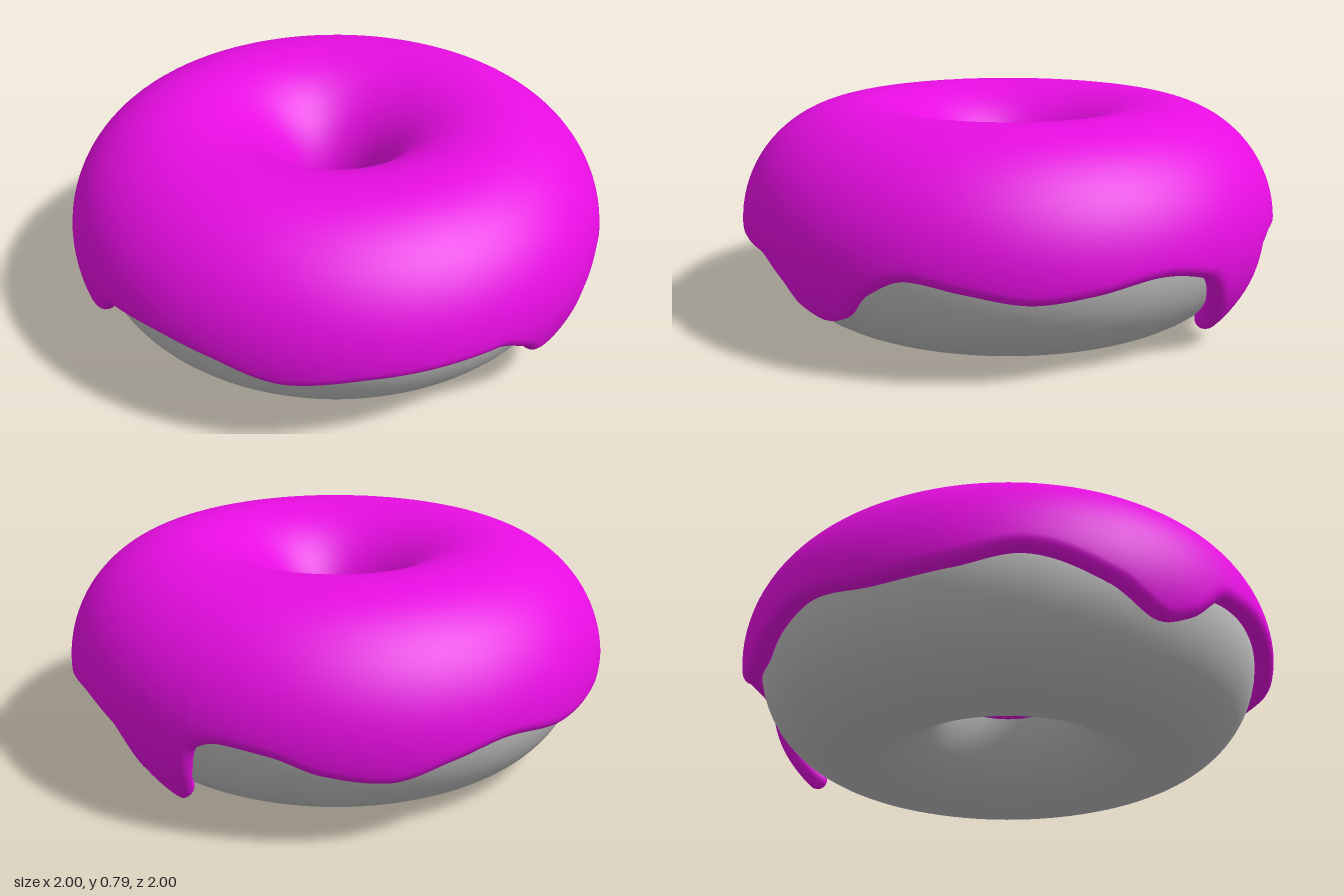
import * as THREE from 'three';

const RING = 0.57, CENTRE_Y = 0.36, DOUGH_R = 0.36, ICING_R = 0.43;
const MID_R = 0.39, LIP = 0.04;

// Lower edge of the icing: [degrees around the ring from the front, height]
const EDGE = [
  [-57, 0.36], [-40, 0.28], [-28, 0.195], [-21, 0.235], [-12, 0.345], [0, 0.36], [12, 0.34],
  [28, 0.28], [45, 0.31], [70, 0.32], [78, 0.26], [84, 0.175], [90, 0.15], [96, 0.18],
  [102, 0.28], [111, 0.35], [122, 0.32], [135, 0.285], [146, 0.305], [160, 0.34], [172, 0.3],
  [180, 0.14], [185, 0.04], [190, 0.14], [195, 0.32], [200, 0.35], [210, 0.33], [220, 0.27], [233, 0.235],
  [245, 0.29], [257, 0.33], [274, 0.295], [290, 0.315],
];

// Smooth periodic curve through the edge points, flat at highs and lows
function edgeHeight(deg) {
  const n = EDGE.length;
  const at = (k) => {
    const turn = Math.floor(k / n), p = EDGE[k - turn * n];
    return [p[0] + 360 * turn, p[1]];
  };
  const slope = (k) => {
    const [a, b, c] = [at(k - 1), at(k), at(k + 1)];
    const s = (b[1] - a[1]) / (b[0] - a[0]), t = (c[1] - b[1]) / (c[0] - b[0]);
    return s * t <= 0 ? 0 : (2 * s * t) / (s + t);
  };
  const d = ((((deg + 57) % 360) + 360) % 360) - 57;
  let k = 0;
  while (at(k + 1)[0] <= d) k++;
  const [x0, y0] = at(k), [x1, y1] = at(k + 1);
  const h = x1 - x0, u = (d - x0) / h, v = 1 - u;
  return y0 * (1 + 2 * u) * v * v + slope(k) * h * u * v * v
    + y1 * u * u * (3 - 2 * u) - slope(k + 1) * h * u * u * v;
}

const edgeAngle = (deg) => Math.asin((edgeHeight(deg) - CENTRE_Y) / 0.41);

// Cross-section of the icing as [tube angle, tube radius], with a rounded lip at each end
function section(deg) {
  const start = edgeAngle(deg), end = Math.PI + 0.22;
  const slant = (edgeAngle(deg + 0.5) - edgeAngle(deg - 0.5)) / THREE.MathUtils.degToRad(1) * 0.43;
  const lip0 = 0.11 * Math.min(2.2, Math.hypot(1, slant)), lip1 = 0.11;
  const pts = [];
  for (let k = 0; k <= 10; k++) {
    const t = Math.PI * (1 - k / 10);
    pts.push([start + lip0 * (1 - Math.sin(t)), MID_R + LIP * Math.cos(t)]);
  }
  const a = start + lip0, b = end - lip1;
  for (let k = 1; k < 44; k++) pts.push([a + (b - a) * k / 44, ICING_R]);
  for (let k = 0; k <= 10; k++) {
    const t = Math.PI * k / 10;
    pts.push([end - lip1 * (1 - Math.sin(t)), MID_R + LIP * Math.cos(t)]);
  }
  return pts;
}

function icingGeometry(steps = 480) {
  const pos = [], index = [];
  let rows = 0;
  for (let i = 0; i < steps; i++) {
    const deg = 360 * i / steps, phi = THREE.MathUtils.degToRad(deg);
    const pts = section(deg);
    rows = pts.length;
    for (const [a, r] of pts) {
      const R = RING + r * Math.cos(a);
      pos.push(R * Math.sin(phi), CENTRE_Y + r * Math.sin(a), R * Math.cos(phi));
    }
  }
  for (let i = 0; i < steps; i++) {
    for (let j = 0; j < rows - 1; j++) {
      const p = i * rows + j, q = ((i + 1) % steps) * rows + j;
      index.push(p, q, q + 1, p, q + 1, p + 1);
    }
  }
  const g = new THREE.BufferGeometry();
  g.setAttribute('position', new THREE.Float32BufferAttribute(pos, 3));
  g.setIndex(index);
  g.computeVertexNormals();
  return g;
}

export function createModel() {
  const group = new THREE.Group();
  group.name = 'donut';

  const doughMaterial = new THREE.MeshStandardMaterial({ color: 0xc0c0c0 });
  doughMaterial.name = 'dough grey';
  const icingMaterial = new THREE.MeshStandardMaterial({ color: 0xe70de2 });
  icingMaterial.name = 'icing magenta';

  // Plain ring of dough
  const dough = new THREE.Mesh(new THREE.TorusGeometry(RING, DOUGH_R, 64, 128), doughMaterial);
  dough.name = 'dough';
  dough.rotation.x = Math.PI / 2;
  dough.position.y = CENTRE_Y;
  group.add(dough);

  // Dripping icing over the top
  const icing = new THREE.Mesh(icingGeometry(), icingMaterial);
  icing.name = 'icing';
  group.add(icing);

  return group;
}
